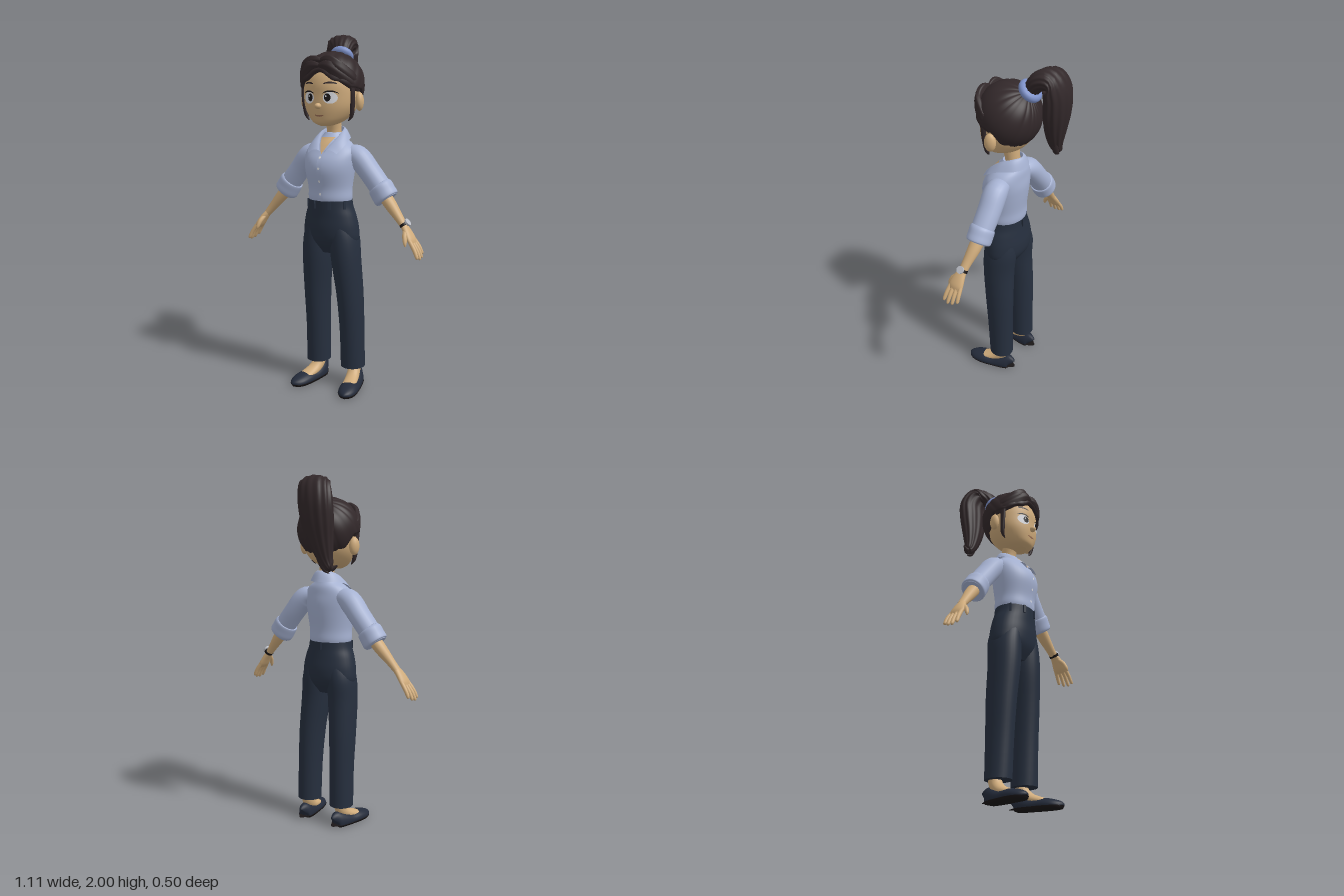
import * as THREE from 'three';

const paint = (name, color, side = THREE.FrontSide) => {
  const m = new THREE.MeshStandardMaterial({ color, side });
  m.name = name;
  return m;
};

// Smooth surface from a rule f(u, v) -> [x, y, z]
function grid(nu, nv, f, wrap = false) {
  const pos = [], idx = [], w = wrap ? nu : nu + 1;
  for (let i = 0; i <= nv; i++) for (let j = 0; j < w; j++) pos.push(...f(j / nu, i / nv, i));
  for (let i = 0; i < nv; i++) for (let j = 0; j < nu; j++) {
    const a = i * w + j, b = i * w + (j + 1) % w;
    idx.push(a, b, b + w, a, b + w, a + w);
  }
  const g = new THREE.BufferGeometry();
  g.setAttribute('position', new THREE.Float32BufferAttribute(pos, 3));
  g.setIndex(idx);
  g.computeVertexNormals();
  return g;
}

// Catmull-Rom through rows of [x, y, z, radiusA, radiusB]
function spline(rows, t) {
  const n = rows.length - 1, k = Math.min(Math.floor(t * n), n - 1), s = t * n - k;
  const p = d => rows[Math.min(Math.max(k + d, 0), n)];
  return rows[0].map((_, c) => {
    const [a, b, e, d] = [p(-1)[c], p(0)[c], p(1)[c], p(2)[c]];
    return b + 0.5 * s * (e - a + s * (2 * a - 5 * b + 4 * e - d + s * (3 * (b - e) + d - a)));
  });
}

// Capped elliptical loft; level rings stay horizontal, others follow the path
function loft(rows, { level = false, ref = [0, 0, 1], seg = 24, ridges = 0, depth = 0.05, lo = -9, hi = 9 } = {}) {
  const n = (rows.length - 1) * 5, R = new THREE.Vector3(...ref);
  const frames = [];
  for (let i = 0; i <= n; i++) {
    const t = i / n, c = spline(rows, t);
    const d0 = spline(rows, Math.max(t - 0.01, 0)), d1 = spline(rows, Math.min(t + 0.01, 1));
    const T = level ? new THREE.Vector3(0, 1, 0) : new THREE.Vector3(d1[0] - d0[0], d1[1] - d0[1], d1[2] - d0[2]).normalize();
    const B = level ? new THREE.Vector3(0, 0, -1) : R.clone().addScaledVector(T, -T.dot(R)).normalize();
    frames.push({ c, A: new THREE.Vector3().crossVectors(B, T), B });
  }
  return grid(seg, n + 4, (u, v, i) => {
    const { c, A, B } = frames[Math.min(Math.max(i - 2, 0), n)];
    const th = u * Math.PI * 2, r = i === 0 || i === n + 4 ? 0 : 1 + depth * Math.cos(ridges * th) * (ridges ? 1 : 0);
    const p = new THREE.Vector3(c[0], c[1], c[2])
      .addScaledVector(A, Math.cos(th) * Math.abs(c[3]) * r).addScaledVector(B, Math.sin(th) * Math.abs(c[4]) * r);
    return [p.x, Math.min(Math.max(p.y, lo), hi), p.z];
  }, true);
}

// Front depth of a level loft at (x, y)
function frontOf(rows) {
  const d = Array.from({ length: 201 }, (_, i) => spline(rows, i / 200));
  return (x, y) => {
    const r = d.find(q => q[1] >= y) || d[200];
    return r[2] + r[4] * Math.sqrt(Math.max(0, 1 - ((x - r[0]) / r[3]) ** 2));
  };
}

export function createModel() {
  const skin = paint('skin', 0xd0ac7c), shirt = paint('shirt blue', 0xa6b2d2, THREE.DoubleSide);
  const navy = paint('trouser navy', 0x262f3e), hair = paint('hair brown', 0x32282a, THREE.DoubleSide);
  const blue = paint('hair tie blue', 0x7c90c8), white = paint('eye white', 0xdcdde2);
  const shoe = paint('shoe navy', 0x242b3a), dark = paint('dark', 0x1a1617);
  const silver = paint('silver', 0xb9bcc4), lip = paint('lip', 0x9c6f55);

  const root = new THREE.Group(), upper = new THREE.Group();
  root.name = 'woman';
  upper.name = 'upperBody';
  upper.position.x = -0.012;
  root.add(upper);
  const add = (name, geo, mat, parent = upper) => {
    const m = new THREE.Mesh(geo, mat);
    m.name = name;
    parent.add(m);
    return m;
  };
  // Thin oval laid on a curved front
  const patch = (name, front, cx, cy, rx, ry, mat, lift, bend = 0) => add(name, grid(20, 4, (u, v) => {
    const r = 1 - v, x = cx + rx * r * Math.cos(u * 2 * Math.PI);
    const y = cy + ry * r * Math.sin(u * 2 * Math.PI) - bend * ((x - cx) / rx) ** 2;
    return [x, y, front(x, y) + lift];
  }, true), mat);

  // Head and face
  const headRows = [[0, 1.498, 0.125, 0.03, 0.035], [0, 1.515, 0.11, 0.075, 0.076], [0, 1.55, 0.085, 0.115, 0.113],
    [0, 1.6, 0.07, 0.145, 0.136], [0, 1.66, 0.06, 0.157, 0.147], [0, 1.72, 0.055, 0.155, 0.153],
    [0, 1.78, 0.05, 0.14, 0.14], [0, 1.84, 0.05, 0.09, 0.09]];
  const face = frontOf(headRows);
  add('head', loft(headRows, { level: true, seg: 36 }), skin);
  add('neck', loft([[0, 1.39, 0.04, 0.05, 0.05], [0, 1.46, 0.036, 0.041, 0.041], [0, 1.54, 0.05, 0.045, 0.05]], { level: true }), skin);
  const nose = add('nose', new THREE.SphereGeometry(1, 16, 12), skin);
  nose.position.set(0, 1.605, 0.213);
  nose.scale.set(0.018, 0.016, 0.022);
  patch('mouth', face, 0, 1.553, 0.028, 0.005, lip, 0.003, -0.004);
  for (const s of [1, -1]) {
    patch('eyeWhite', face, s * 0.064, 1.648, 0.037, 0.031, white, 0.003);
    patch('iris', face, s * 0.052, 1.65, 0.017, 0.021, dark, 0.006);
    patch('eyeGlint', face, s * 0.052 - 0.006, 1.657, 0.004, 0.005, white, 0.008);
    patch('upperLash', face, s * 0.066, 1.683, 0.04, 0.004, dark, 0.005, 0.012);
    patch('eyebrow', face, s * 0.064, 1.727, 0.034, 0.005, hair, 0.005, 0.006);
    const ear = add('ear', new THREE.SphereGeometry(1, 16, 12), skin);
    ear.position.set(s * 0.168, 1.628, 0.058);
    ear.scale.set(0.024, 0.05, 0.032);
    ear.rotation.y = s * 0.3;
  }

  // Hair cap: strands fan out from the ponytail root to the hairline
  const P = new THREE.Vector3(-0.05, 0.8, -0.6).normalize();
  const line = [[0, 0.42, 0, 0, 0], [0.6, 0.1, 0, 0, 0], [1.15, -0.1, 0, 0, 0], [1.57, -0.15, 0, 0, 0],
    [2.0, -0.7, 0, 0, 0], [2.5, -0.98, 0, 0, 0], [Math.PI, -1.02, 0, 0, 0]];
  const elevation = phi => {
    const k = Math.max(1, line.findIndex(q => q[0] >= phi - 1e-6)), [a, b] = [line[k - 1], line[k]];
    return THREE.MathUtils.lerp(a[1], b[1], THREE.MathUtils.smoothstep(phi, a[0], b[0]));
  };
  add('hairCap', grid(144, 26, (u, v) => {
    const phi = -(u - 0.5) * 2 * Math.PI, e = elevation(Math.abs(phi));
    const H = new THREE.Vector3(Math.sin(phi) * Math.cos(e), Math.sin(e), Math.cos(phi) * Math.cos(e));
    const t = Math.min(1, v / 0.92), w = P.angleTo(H);
    const d = P.clone().multiplyScalar(Math.sin((1 - t) * w)).addScaledVector(H, Math.sin(t * w)).divideScalar(Math.sin(w));
    const r = (1 + 0.022 * (Math.abs(Math.sin(phi * 9)) - 0.6) * Math.sin(Math.PI * Math.min(t, 0.8))) * (1 - 0.15 * Math.max(0, v - 0.92) / 0.08);
    return [d.x * 0.178 * r, 1.72 + d.y * 0.176 * r, 0.055 + d.z * 0.172 * r];
  }, true), hair);

  // Swept fringe and loose side strands
  for (const s of [1, -1]) {
    for (const [k, y] of [[0, 0], [1, 0.028]]) add('fringeLock', loft([[s * -0.005, 1.815 + y, 0.2 - k * 0.02, 0.008, 0.01], [s * 0.05, 1.815 + y, 0.2 - k * 0.015, 0.017, 0.028],
      [s * 0.105, 1.775 + y, 0.172, 0.02, 0.034], [s * 0.148, 1.725 + y, 0.115, 0.018, 0.032], [s * 0.164, 1.69 + y, 0.06, 0.008, 0.012]],
    { ref: [0, 1, 0], ridges: 6, depth: 0.06 }), hair);
    add('sideStrand', loft([[s * 0.152, 1.74, 0.11, 0.012, 0.02], [s * 0.153, 1.66, 0.108, 0.011, 0.016],
      [s * 0.148, 1.59, 0.102, 0.012, 0.014], [s * 0.14, 1.55, 0.098, 0.01, 0.01], [s * 0.122, 1.525, 0.1, 0.002, 0.002]]), hair);
  }

  // Ponytail with its tie
  add('ponytail', loft([[-0.005, 1.86, -0.06, 0.035, 0.035], [-0.02, 1.925, -0.1, 0.048, 0.06], [-0.05, 1.94, -0.155, 0.056, 0.088],
    [-0.075, 1.87, -0.183, 0.06, 0.1], [-0.085, 1.77, -0.178, 0.062, 0.095], [-0.1, 1.66, -0.165, 0.052, 0.072],
    [-0.125, 1.56, -0.155, 0.034, 0.042], [-0.155, 1.515, -0.155, 0.02, 0.022], [-0.195, 1.53, -0.15, 0.003, 0.003]],
  { ref: [1, 0, 0], seg: 72, ridges: 12, depth: 0.035 }), hair);
  add('ponytailTip', loft([[-0.1, 1.66, -0.17, 0.03, 0.04], [-0.1, 1.57, -0.165, 0.022, 0.026], [-0.12, 1.51, -0.16, 0.014, 0.014], [-0.15, 1.488, -0.16, 0.002, 0.002]], { ref: [1, 0, 0] }), hair);
  const tie = add('hairTie', new THREE.TorusGeometry(0.043, 0.024, 14, 32), blue);
  tie.position.set(-0.008, 1.877, -0.066);
  tie.quaternion.setFromUnitVectors(new THREE.Vector3(0, 0, 1), new THREE.Vector3(-0.05, 0.76, -0.65).normalize());

  // Shirt body, placket, buttons and open neck
  const shirtRows = [[0, 1.06, 0.078, 0.114, 0.095], [0, 1.1, 0.079, 0.127, 0.107], [0, 1.16, 0.08, 0.128, 0.108],
    [0, 1.25, 0.084, 0.143, 0.122], [0, 1.31, 0.078, 0.15, 0.12], [0, 1.36, 0.065, 0.148, 0.103],
    [0, 1.4, 0.053, 0.115, 0.087], [0, 1.43, 0.045, 0.072, 0.068], [0, 1.46, 0.04, 0.05, 0.05]];
  const chest = frontOf(shirtRows);
  add('shirtBody', loft(shirtRows, { level: true, seg: 40 }), shirt);
  add('placket', grid(2, 16, (u, v) => {
    const x = (u - 0.5) * 0.028, y = 1.09 + v * 0.26;
    return [x, y, chest(x, y) + 0.004];
  }), shirt);
  for (const y of [1.13, 1.2, 1.27, 1.33]) patch('button', chest, 0, y, 0.007, 0.007, white, 0.007);
  add('openNeck', grid(4, 10, (u, v) => {
    const x = (u - 0.5) * 0.085 * v, y = 1.345 + v * 0.09;
    return [x, y, chest(x, y) + 0.006];
  }), skin);

  // Folded collar: inner stand, top fold and outer flap
  const edge = half => new THREE.CatmullRomCurve3([...half.slice(1).reverse().map(([x, y, z]) => [-x, y, z]), ...half].map(p => new THREE.Vector3(...p)));
  const fold = edge([[0, 1.495, -0.025], [0.045, 1.49, 0.005], [0.058, 1.468, 0.055], [0.042, 1.42, 0.118], [0.012, 1.365, 0.172]]);
  const flap = edge([[0, 1.432, -0.055], [0.07, 1.432, -0.025], [0.105, 1.422, 0.05], [0.108, 1.385, 0.125], [0.09, 1.35, 0.168]]);
  add('collar', grid(48, 8, (u, v) => {
    const a = fold.getPoint(u), b = flap.getPoint(u), p = a.clone();
    if (v < 0.3) p.y -= (0.3 - v) * 0.12;
    else p.lerp(b, (v - 0.3) / 0.7).y += 0.012 * Math.sin((v - 0.3) / 0.7 * Math.PI);
    return [p.x, p.y, p.z + 0.004];
  }), shirt);

  // Arms
  for (const s of [1, -1]) {
    const arm = new THREE.Group();
    arm.name = s > 0 ? 'leftArm' : 'rightArm';
    upper.add(arm);
    const limb = (name, rows, mat, o) => add(name, loft(rows.map(([x, ...r]) => [s * x, ...r]), o), mat, arm);
    limb('sleeve', [[0.08, 1.35, 0.045, 0.04, 0.05], [0.15, 1.33, 0.04, 0.062, 0.066], [0.225, 1.245, 0.034, 0.06, 0.066], [0.305, 1.145, 0.034, 0.06, 0.062]], shirt);
    limb('cuff', [[0.28, 1.178, 0.034, 0.058, 0.06], [0.286, 1.17, 0.034, 0.069, 0.069], [0.305, 1.14, 0.034, 0.071, 0.069], [0.324, 1.112, 0.034, 0.071, 0.068], [0.33, 1.104, 0.034, 0.06, 0.058]], shirt);
    limb('forearm', [[0.3, 1.14, 0.036, 0.036, 0.04], [0.355, 1.075, 0.042, 0.033, 0.036], [0.41, 1.01, 0.052, 0.024, 0.027], [0.448, 0.965, 0.058, 0.019, 0.025]], skin);
    limb('palm', [[0.44, 0.975, 0.057, 0.018, 0.024], [0.467, 0.94, 0.064, 0.019, 0.037], [0.49, 0.905, 0.068, 0.018, 0.045], [0.503, 0.882, 0.069, 0.011, 0.04]], skin);
    [-0.036, -0.012, 0.012, 0.035].forEach((o, i) => {
      const l = [0.8, 0.95, 1, 0.92][i];
      limb('finger', [[0.49, 0.905, 0.068 + o * 0.9, 0.011, 0.012], [0.49 + 0.035 * l, 0.905 - 0.05 * l, 0.07 + o * 1.1, 0.011, 0.011],
        [0.49 + 0.055 * l, 0.905 - 0.09 * l, 0.072 + o * 1.2, 0.009, 0.009], [0.49 + 0.06 * l, 0.905 - 0.1 * l, 0.072 + o * 1.2, 0.003, 0.003]], skin, { seg: 12 });
    });
    limb('thumb', [[0.455, 0.955, 0.075, 0.012, 0.014], [0.466, 0.925, 0.106, 0.013, 0.013], [0.475, 0.893, 0.122, 0.01, 0.01], [0.479, 0.876, 0.126, 0.003, 0.003]], skin, { seg: 12, ref: [1, 0, 0] });
    if (s > 0) {
      limb('watchStrap', [[0.437, 0.985, 0.056, 0.025, 0.03], [0.446, 0.974, 0.057, 0.025, 0.03]], dark);
      const dial = add('watchDial', new THREE.CylinderGeometry(0.021, 0.021, 0.01, 24), silver, arm);
      dial.position.set(0.461, 0.995, 0.057);
      dial.rotation.z = -0.88;
    }
  }

  // Trousers: hips, belt loops and straight legs
  const hipRows = [[0, 0.79, 0.068, 0.11, 0.06], [0, 0.86, 0.067, 0.164, 0.102], [0, 0.93, 0.069, 0.166, 0.112],
    [0, 1.0, 0.073, 0.152, 0.108], [0, 1.05, 0.077, 0.134, 0.106], [0, 1.09, 0.079, 0.127, 0.106]];
  add('hips', loft(hipRows, { level: true, seg: 40 }), navy);
  for (const a of [0.5, 1.2, 1.94, 2.64, 4.71]) {
    const loop = add('beltLoop', new THREE.BoxGeometry(0.014, 0.045, 0.01), navy);
    loop.position.set(0.131 * Math.cos(a), 1.068, 0.078 + 0.108 * Math.sin(a));
    loop.rotation.y = Math.PI / 2 - a;
  }
  for (const s of [1, -1]) {
    const leg = new THREE.Group();
    leg.name = s > 0 ? 'leftLeg' : 'rightLeg';
    root.add(leg);
    add('trouserLeg', loft([[s * 0.114, 0.12, 0.042, 0.069, 0.073], [s * 0.111, 0.34, 0.048, 0.069, 0.079], [s * 0.106 - 0.004, 0.55, 0.058, 0.074, 0.088],
      [s * 0.093 - 0.009, 0.75, 0.071, 0.082, 0.095], [s * 0.084 - 0.012, 0.88, 0.068, 0.08, 0.1], [s * 0.07 - 0.012, 0.98, 0.07, 0.06, 0.09]], { level: true, seg: 32 }), navy, leg);
    add('foot', loft([[s * 0.116, 0.16, 0.02, 0.034, 0.034], [s * 0.118, 0.1, 0.03, 0.036, 0.036], [s * 0.128, 0.06, 0.075, 0.03, 0.038], [s * 0.145, 0.04, 0.15, 0.02, 0.04]], { ref: [1, 0, 0] }), skin, leg);
    // Flat shoe pointing slightly outward, with a thin sole
    const last = [[-0.024, 0.012, 0.075], [-0.012, 0.036, 0.09], [0.03, 0.047, 0.08], [0.09, 0.052, 0.06], [0.15, 0.055, 0.06], [0.2, 0.049, 0.05], [0.235, 0.03, 0.036], [0.248, 0.004, 0.02]];
    const rows = k => last.map(([z, w, h]) => [s * (0.118 + 0.2 * z), h * 0.35, z, h * 0.65, w * k]);
    add('shoe', loft(rows(1), { ref: [1, 0, 0], lo: 0.008 }), shoe, leg);
    add('sole', loft(rows(1.05), { ref: [1, 0, 0], lo: 0, hi: 0.014 }), dark, leg);
  }
  return root;
}
